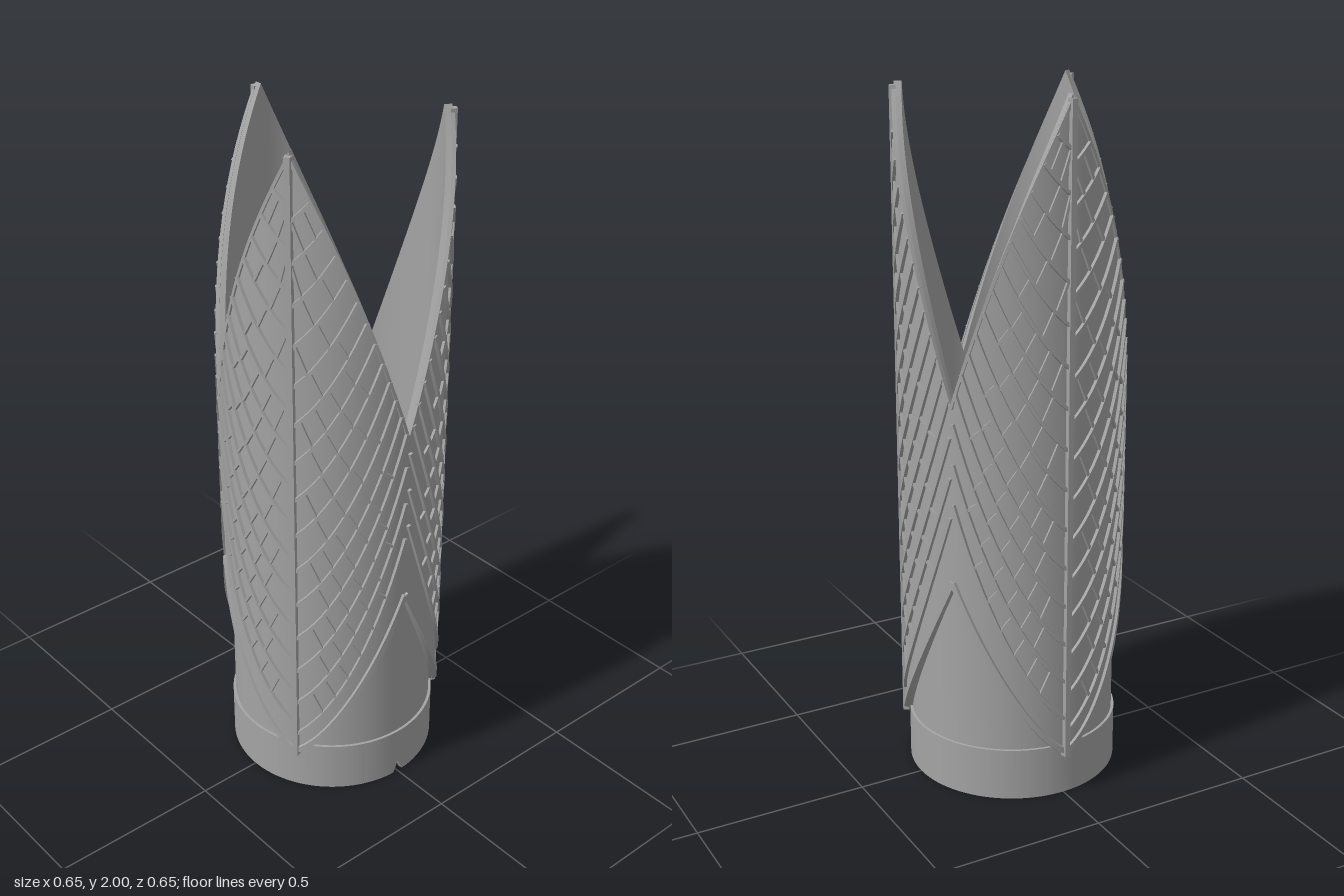
import * as THREE from 'three';
import { toCreasedNormals, mergeGeometries } from 'three/addons/utils/BufferGeometryUtils.js';

const R_IN = 0.293, R_BODY = 0.299, R_LEAF = 0.316, R_VEIN = 0.325;
const HALF = Math.PI / 3; // half the angle a leaf spans

// leaf outline: t = 0 at the midrib, 1 where neighbouring leaves meet
const lower = t => 0.13 + 0.52 * Math.pow(t, 1.4);
const upper = t => 2 - 0.82 * t + 0.05 * Math.sin(Math.PI * t);

const polar = (r, a, y) => [r * Math.cos(a), y, r * Math.sin(a)];

// joins four-cornered cross-sections into a solid
function loft(sections, caps) {
  const pos = [];
  const quad = (a, b, c, d) => pos.push(...a, ...b, ...c, ...a, ...c, ...d);
  for (let i = 0; i + 1 < sections.length; i++) {
    const p = sections[i], q = sections[i + 1];
    for (let k = 0; k < 4; k++) {
      const n = (k + 1) % 4;
      quad(p[k], p[n], q[n], q[k]);
    }
  }
  if (caps) {
    const s = sections[0], e = sections[sections.length - 1];
    quad(s[3], s[2], s[1], s[0]);
    quad(e[0], e[1], e[2], e[3]);
  }
  const g = new THREE.BufferGeometry();
  g.setAttribute('position', new THREE.Float32BufferAttribute(pos, 3));
  return toCreasedNormals(g, 0.6);
}

// curved wall whose lower and upper edges follow functions of the angle
function shell(a0, a1, n, rIn, rOut, lo, hi) {
  const sections = [];
  for (let i = 0; i <= n; i++) {
    const a = a0 + (a1 - a0) * i / n;
    sections.push([polar(rOut, a, lo(a)), polar(rOut, a, hi(a)), polar(rIn, a, hi(a)), polar(rIn, a, lo(a))]);
  }
  return loft(sections, false);
}

// raised rib along a path of [angle, y] points
function rib(path, width, rTop = R_VEIN) {
  const sections = path.map(([a, y], i) => {
    const p = path[Math.max(i - 1, 0)], q = path[Math.min(i + 1, path.length - 1)];
    const du = (q[0] - p[0]) * R_LEAF, dy = q[1] - p[1], len = Math.hypot(du, dy) || 1;
    const at = (r, w) => polar(r, a - dy / len * w / R_LEAF, y + du / len * w);
    const w = width / 2;
    return [at(rTop, -w * 0.7), at(rTop, w * 0.7), at(0.31, w), at(0.31, -w)];
  });
  return loft(sections, true);
}

const sample = (n, f) => Array.from({ length: n + 1 }, (_, i) => f(i / n));

// side veins sweep outward and upward from the midrib
const veinY = (y0, t) => y0 + 0.27 * t + 0.4 * t * t;
function veinEnd(y0) {
  let t = 0;
  while (t < 0.985 && veinY(y0, t) < upper(t) - 0.015) t += 0.005;
  return t;
}

function leafVeins(side) {
  const parts = [];
  const starts = sample(14, f => 0.2 + f * 1.62 + (side > 0 ? 0.04 : 0));
  starts.forEach((y0, i) => {
    const end = veinEnd(y0);
    parts.push(rib(sample(16, f => [side * f * end, veinY(y0, f * end)].map((v, k) => k ? v : v * HALF)), 0.013));
    if (i === starts.length - 1) return;

    // short cross veins between neighbours, denser low on the leaf
    const next = starts[i + 1], nextEnd = veinEnd(next);
    const count = i < 5 ? 6 : i < 9 ? 4 : 2;
    for (let k = 0; k < count; k++) {
      const t1 = end * (0.25 + 0.68 * (k + 0.5 * (i % 2)) / count);
      const t2 = Math.max(0.01, t1 - 0.1);
      if (t2 > nextEnd) continue;
      const y1 = veinY(y0, t1), y2 = veinY(next, t2);
      parts.push(rib(sample(3, f => [side * HALF * (t1 + (t2 - t1) * f), y1 + (y2 - y1) * f]), 0.011, 0.323));
    }
  });
  return mergeGeometries(parts);
}

function leafMargins() {
  const parts = [];
  for (const side of [-1, 1]) {
    parts.push(rib(sample(30, t => [side * t * HALF, lower(t) + 0.012]), 0.022, 0.324));
    parts.push(rib(sample(30, t => [side * t * HALF, upper(t) - 0.012]), 0.012, 0.321));
  }
  return mergeGeometries(parts);
}

export function createModel() {
  const model = new THREE.Group();
  const grey = new THREE.MeshStandardMaterial({ color: 0xa4a4a4 });
  grey.name = 'plain grey';
  const add = (parent, geometry, name) => {
    const mesh = new THREE.Mesh(geometry, grey);
    mesh.name = name;
    parent.add(mesh);
  };

  // base collar with a small pointed notch on the left
  const notch = a => Math.max(0, 0.04 * (1 - Math.abs(a) / 0.055));
  add(model, shell(-Math.PI, Math.PI, 360, R_IN, 0.307, notch, () => 0.155), 'baseCollar');
  // plain tube behind the lower leaf edges
  add(model, shell(-Math.PI, Math.PI, 120, R_IN, R_BODY, () => 0.15, () => 0.67), 'tube');

  // three leaves around the tube
  const blade = shell(-HALF, HALF, 80, R_IN + 0.001, R_LEAF,
    a => lower(Math.abs(a) / HALF), a => upper(Math.abs(a) / HALF));
  const midrib = rib(sample(4, f => [0, 0.125 + f * 1.865]), 0.022, 0.329);
  const margins = leafMargins(), veinsA = leafVeins(-1), veinsB = leafVeins(1);
  for (let i = 0; i < 3; i++) {
    const leaf = new THREE.Group();
    leaf.name = 'leaf';
    leaf.rotation.y = Math.PI / 3 + i * Math.PI * 2 / 3;
    add(leaf, blade, 'leafBlade');
    add(leaf, midrib, 'midrib');
    add(leaf, margins, 'leafMargin');
    add(leaf, veinsA, 'sideVeins');
    add(leaf, veinsB, 'sideVeins');
    model.add(leaf);
  }
  return model;
}
